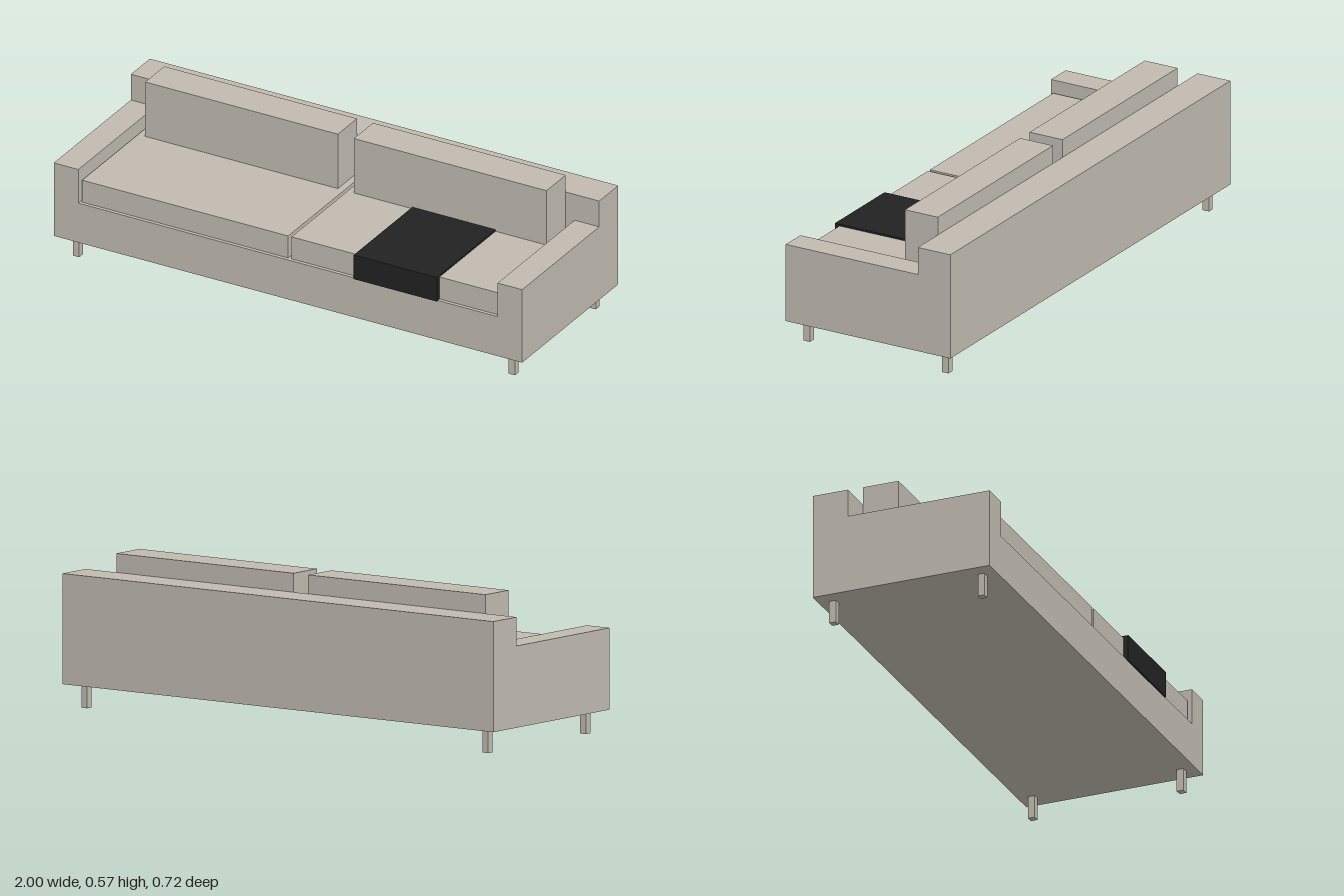
import * as THREE from 'three';

export function createModel() {
  const fabric = new THREE.MeshStandardMaterial({ color: 0xc0bab0 });
  fabric.name = 'warm grey fabric';
  const charcoal = new THREE.MeshStandardMaterial({ color: 0x222222 });
  charcoal.name = 'charcoal wool';
  const sofa = new THREE.Group();
  sofa.name = 'sofa';

  const add = (name, geometry, material) => {
    const mesh = new THREE.Mesh(geometry, material);
    mesh.name = name;
    sofa.add(mesh);
    return mesh;
  };
  // box given by its extents on each axis
  const box = (name, [x0, x1], [y0, y1], [z0, z1], material = fabric) => {
    const mesh = add(name, new THREE.BoxGeometry(x1 - x0, y1 - y0, z1 - z0), material);
    mesh.position.set((x0 + x1) / 2, (y0 + y1) / 2, (z0 + z1) / 2);
  };
  const extrude = (points, depth) => new THREE.ExtrudeGeometry(
    new THREE.Shape(points.map(([x, y]) => new THREE.Vector2(x, y))),
    { depth, bevelEnabled: false });

  // base and both arms share one U-shaped section
  const frame = extrude([
    [-1, 0.088], [1, 0.088], [1, 0.394], [0.895, 0.394],
    [0.895, 0.253], [-0.895, 0.253], [-0.895, 0.394], [-1, 0.394],
  ], 0.571);
  add('baseAndArms', frame, fabric).position.z = -0.217;
  box('backrest', [-1, 1], [0.088, 0.502], [-0.358, -0.217]);

  // cushions and legs, mirrored left and right
  for (const [side, s] of [['left', 1], ['right', -1]]) {
    const span = (a, b) => (s > 0 ? [a, b] : [-b, -a]);
    box(side + 'SeatCushion', span(0.007, 0.887), [0.253, 0.345], [-0.217, 0.34]);
    box(side + 'BackCushion', span(0.034, 0.857), [0.345, 0.573], [-0.217, -0.075]);
    box(side + 'FrontLeg', span(0.917, 0.944), [0, 0.088], [0.283, 0.31]);
    box(side + 'BackLeg', span(0.917, 0.944), [0, 0.088], [-0.316, -0.289]);
  }

  // throw blanket: L-shaped section over the seat and down its front
  const blanket = extrude([
    [-0.36, 0.251], [-0.34, 0.251], [-0.34, 0.345],
    [0.075, 0.345], [0.075, 0.352], [-0.36, 0.352],
  ], 0.355);
  blanket.rotateY(Math.PI / 2);
  add('throwBlanket', blanket, charcoal).position.x = 0.284;

  return sofa;
}
